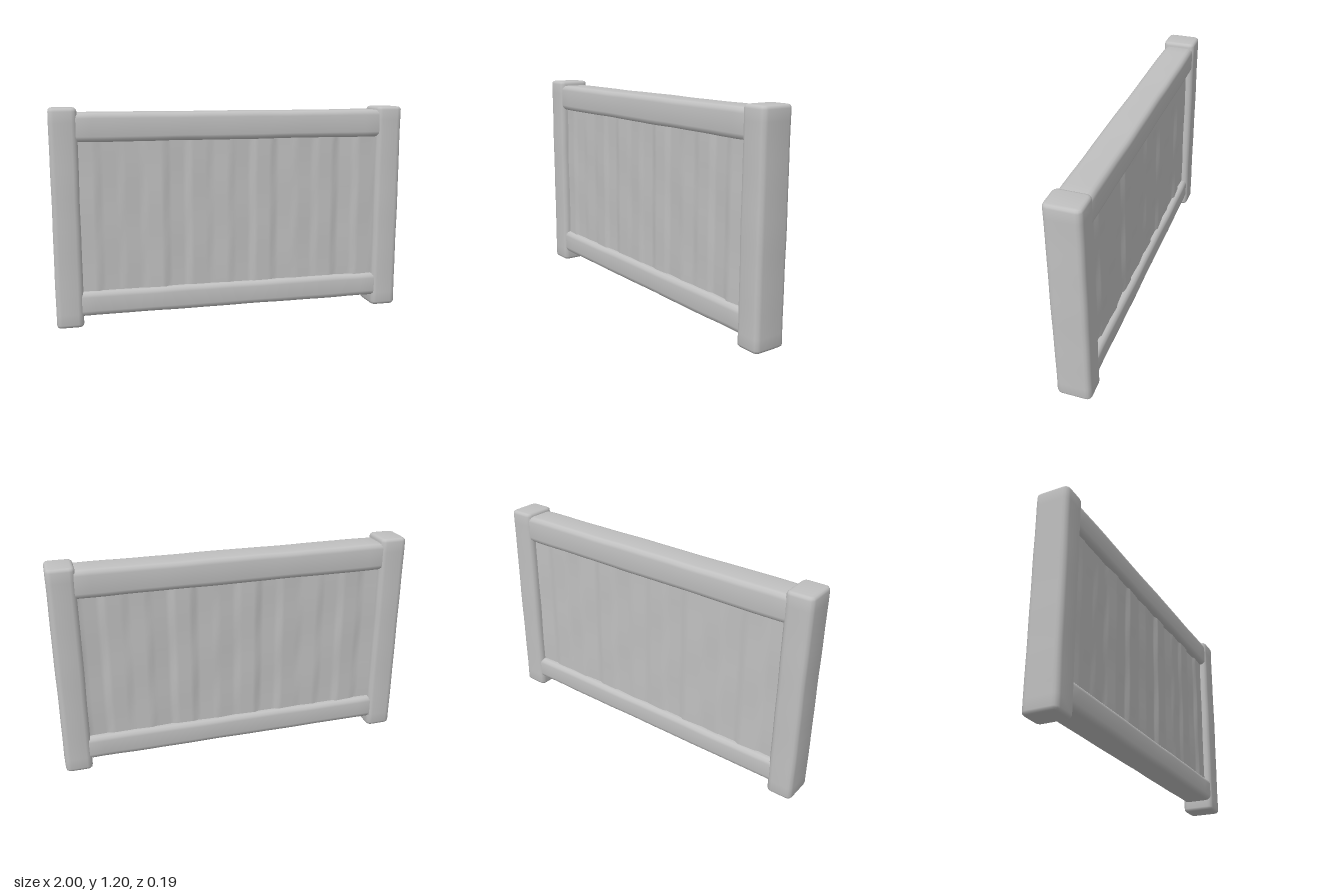
import * as THREE from 'three';
import { toCreasedNormals } from 'three/addons/utils/BufferGeometryUtils.js';

const grey = new THREE.MeshStandardMaterial({ color: 0xc0c0c0 });
grey.name = 'plain grey';

// Upright rounded beam centred on the origin, with worn, slightly wavy sides
function beamGeometry(width, height, depth, radius, wear, seed) {
  const bevel = radius * 0.7;
  const w = width / 2 - bevel, d = depth / 2 - bevel, r = radius * 0.5;
  const shape = new THREE.Shape();
  shape.moveTo(-w + r, -d);
  shape.lineTo(w - r, -d);
  shape.quadraticCurveTo(w, -d, w, -d + r);
  shape.lineTo(w, d - r);
  shape.quadraticCurveTo(w, d, w - r, d);
  shape.lineTo(-w + r, d);
  shape.quadraticCurveTo(-w, d, -w, d - r);
  shape.lineTo(-w, -d + r);
  shape.quadraticCurveTo(-w, -d, -w + r, -d);
  const g = new THREE.ExtrudeGeometry(shape, {
    depth: height - 2 * bevel, steps: 20, curveSegments: 3,
    bevelEnabled: true, bevelSize: bevel, bevelThickness: bevel, bevelSegments: 3,
  });
  g.translate(0, 0, bevel - height / 2);
  g.rotateX(-Math.PI / 2);
  const p = g.attributes.position;
  for (let i = 0; i < p.count; i++) {
    const x = p.getX(i), y = p.getY(i), z = p.getZ(i);
    const a = Math.sin(y * 9 + seed) + 0.6 * Math.sin(y * 21 + seed * 2.3);
    const b = Math.sin(y * 8 + seed * 1.7) + 0.6 * Math.sin(y * 19 + seed);
    p.setX(i, x * (1 + (wear * a) / width));
    p.setZ(i, z * (1 + (wear * b) / depth));
  }
  return toCreasedNormals(g, 0.8);
}

// Board whose two faces are carved into soft, uneven vertical planks
function plankedGeometry(width, height, depth, planks) {
  const g = new THREE.BoxGeometry(width, height, depth, planks * 6, 14, 1);
  const p = g.attributes.position;
  for (let i = 0; i < p.count; i++) {
    const x = p.getX(i), y = p.getY(i), z = p.getZ(i);
    const u = (x / width + 0.5) * planks + 1e-4;
    const plank = Math.floor(u), side = Math.sign(z);
    const level = 0.004 * Math.sin(plank * 2.4 + side);
    const tilt = 0.008 * (u - plank - 0.5) * Math.sin(plank * 4.1 + side * 2);
    const wave = 0.0015 * Math.sin(y * 13 + plank * 1.9 + side);
    p.setZ(i, z + side * (level + tilt + wave));
  }
  g.computeVertexNormals();
  return g;
}

export function createModel() {
  const group = new THREE.Group();
  group.name = 'framedPanel';
  const add = (name, geometry, x, y) => {
    const mesh = new THREE.Mesh(geometry, grey);
    mesh.name = name;
    mesh.position.set(x, y, 0);
    group.add(mesh);
  };

  // End posts
  add('leftPost', beamGeometry(0.148, 1.187, 0.19, 0.026, 0.0015, 1), 0.925, 0.5985);
  add('rightPost', beamGeometry(0.148, 1.195, 0.19, 0.026, 0.0015, 4), -0.925, 0.6025);

  // Top and bottom rails, butting just inside the posts
  for (const [name, y, height, seed] of [['topRail', 1.097, 0.154, 2], ['bottomRail', 0.132, 0.136, 6]]) {
    const g = beamGeometry(height, 1.77, 0.175, 0.026, 0.002, seed);
    g.rotateZ(Math.PI / 2);
    add(name, g, 0, y);
  }

  // Recessed planked infill
  add('plankPanel', plankedGeometry(1.73, 0.86, 0.11, 14), 0, 0.61);
  return group;
}
